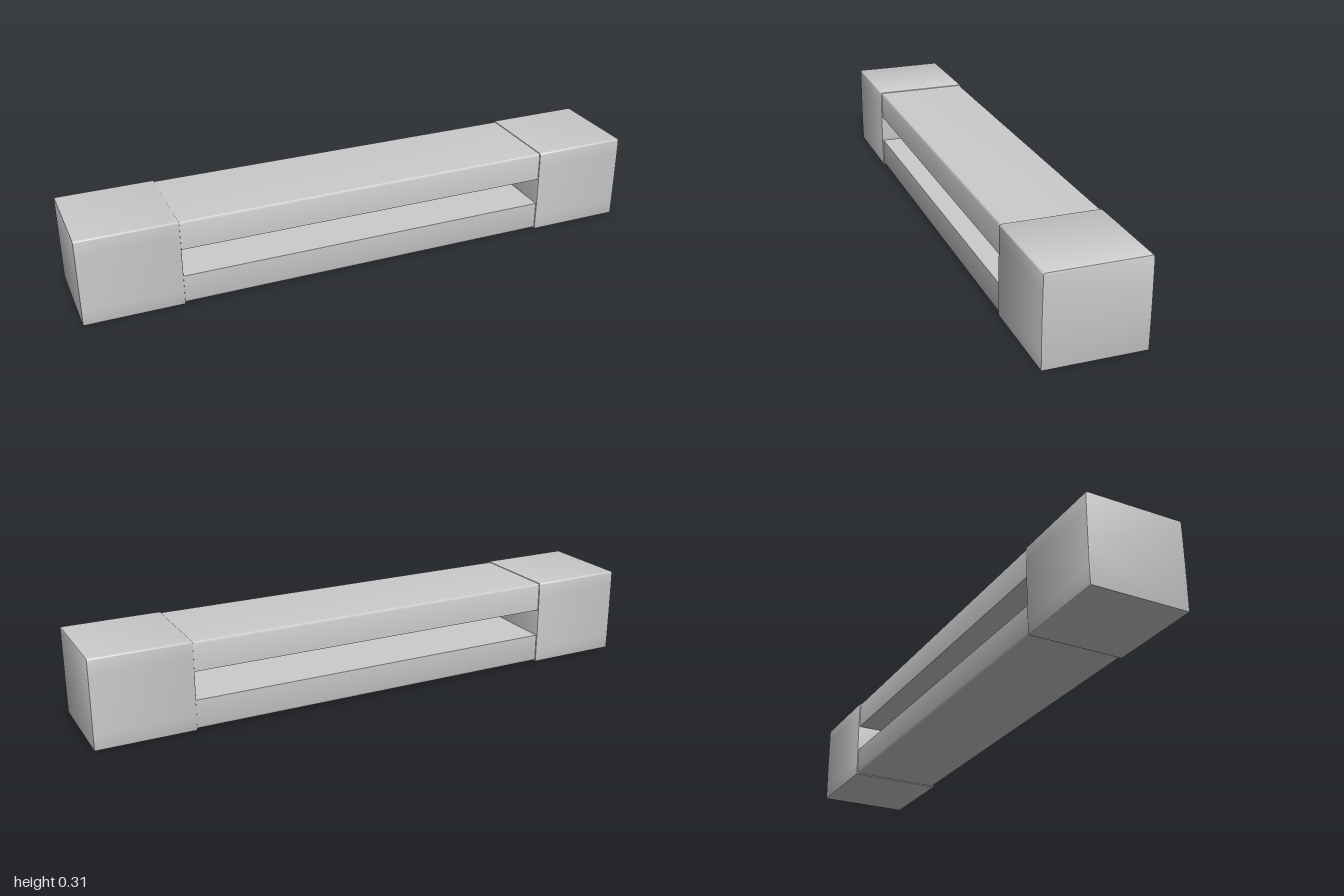
import * as THREE from 'three';
import { toCreasedNormals } from 'three/addons/utils/BufferGeometryUtils.js';

const material = new THREE.MeshStandardMaterial({ color: 0xcccccc });

// Extrude a z-y cross-section along x, centred on x = 0
function extrudeAlongX(shape, length, bevel) {
  const geometry = new THREE.ExtrudeGeometry(shape, {
    depth: length - 2 * bevel, curveSegments: 6,
    bevelEnabled: bevel > 0, bevelThickness: bevel, bevelSize: bevel, bevelOffset: -bevel, bevelSegments: 2,
  });
  geometry.translate(0, 0, bevel - length / 2);
  geometry.rotateY(Math.PI / 2);
  return toCreasedNormals(geometry, 0.6);
}

// Block section: rounded top corners, barely bowed sides, tight bottom corners
function blockSection(w, h, bow, r, rb) {
  const s = new THREE.Shape();
  s.moveTo(-w + rb, 0);
  s.lineTo(w - rb, 0);
  s.quadraticCurveTo(w, 0, w, rb);
  s.quadraticCurveTo(w + 2 * bow, h / 2, w, h - r);
  s.quadraticCurveTo(w, h, w - r, h);
  s.lineTo(-w + r, h);
  s.quadraticCurveTo(-w, h, -w, h - r);
  s.quadraticCurveTo(-w - 2 * bow, h / 2, -w, rb);
  s.quadraticCurveTo(-w, 0, -w + rb, 0);
  return s;
}

// Rail section: square slot edges, softened outer edges
function railSection(w, h, r) {
  const s = new THREE.Shape();
  s.moveTo(-w, 0);
  s.lineTo(w, 0);
  s.lineTo(w, h - r);
  s.quadraticCurveTo(w, h, w - r, h);
  s.lineTo(-w + r, h);
  s.quadraticCurveTo(-w, h, -w, h - r);
  s.lineTo(-w, 0);
  return s;
}

export function createModel() {
  const group = new THREE.Group();
  const add = (name, geometry, x, y) => {
    const mesh = new THREE.Mesh(geometry, material);
    mesh.name = name;
    mesh.position.set(x, y, 0);
    group.add(mesh);
    return mesh;
  };

  // Solid end blocks
  const block = extrudeAlongX(blockSection(0.168, 0.305, 0.001, 0.009, 0.004), 0.336, 0.003);
  add('leftEndBlock', block, 0.832, 0);
  add('rightEndBlock', block, -0.832, 0);

  // Two rails with an open slot between them, let into the blocks
  const rail = extrudeAlongX(railSection(0.164, 0.1, 0.008), 1.38, 0);
  add('topRail', rail, 0, 0.202);
  add('bottomRail', rail, 0, 0.104).rotation.x = Math.PI;

  return group;
}
